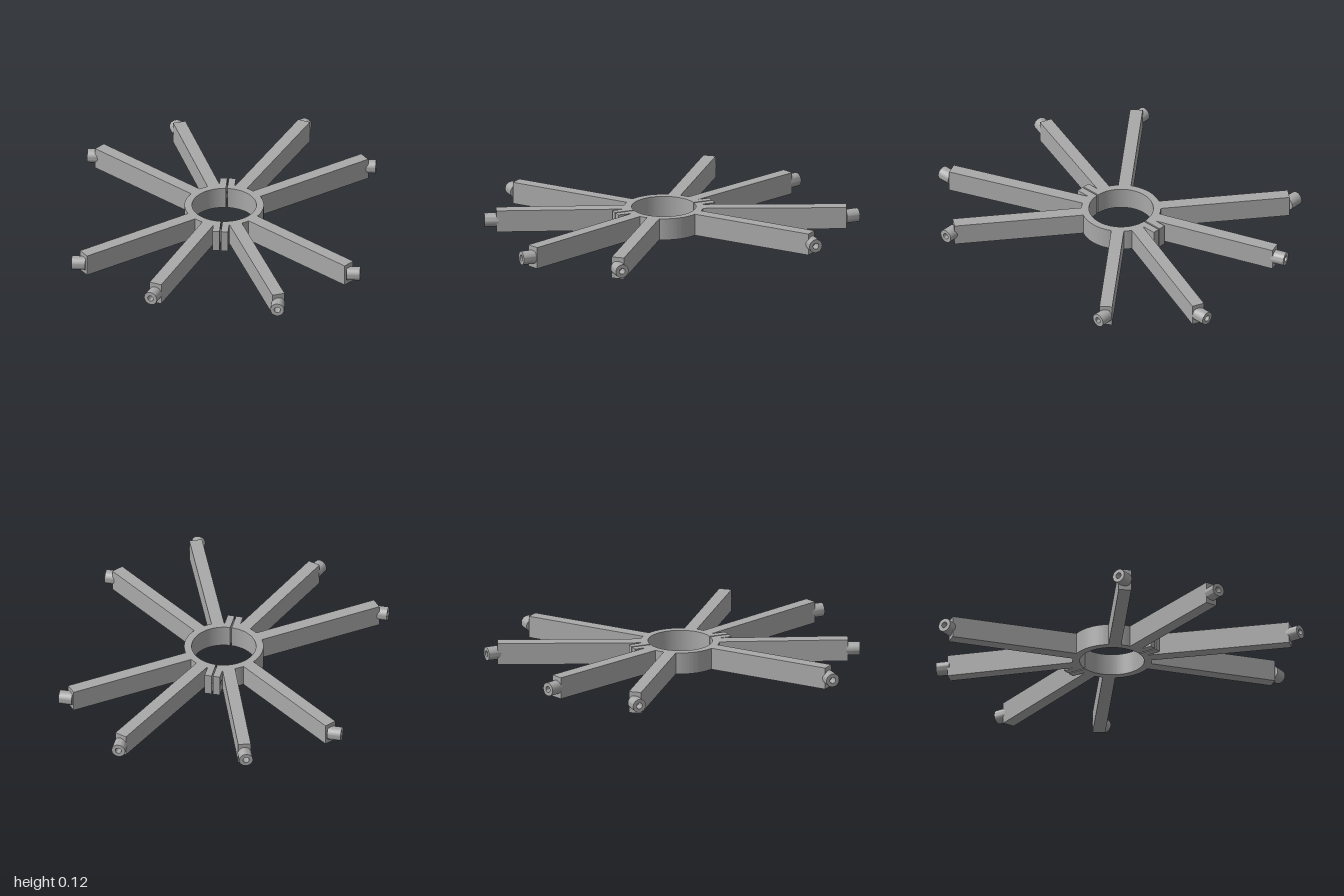
import * as THREE from 'three';
import { toCreasedNormals } from 'three/addons/utils/BufferGeometryUtils.js';

const HEIGHT = 0.122;
const MID = HEIGHT / 2;
const UP = new THREE.Vector3(0, 1, 0);

// Half of the split clamp ring, on the +x side of the gap
function halfRingGeometry(inner, outer, gap) {
  const a = Math.acos(gap / outer), b = Math.acos(gap / inner);
  const shape = new THREE.Shape();
  shape.absarc(0, 0, outer, -a, a, false);
  shape.absarc(0, 0, inner, b, -b, true);
  const geo = new THREE.ExtrudeGeometry(shape, { depth: HEIGHT, bevelEnabled: false, curveSegments: 48 });
  geo.rotateX(-Math.PI / 2);
  return toCreasedNormals(geo, 0.5);
}

// Clamp flange with a bolt hole running along x
function flangeGeometry(z0, z1, thickness) {
  const shape = new THREE.Shape();
  shape.moveTo(z0, 0);
  shape.lineTo(z1, 0);
  shape.lineTo(z1, HEIGHT);
  shape.lineTo(z0, HEIGHT);
  const hole = new THREE.Path();
  hole.absarc(0.252, MID, 0.013, 0, Math.PI * 2, true);
  shape.holes.push(hole);
  const geo = new THREE.ExtrudeGeometry(shape, { depth: thickness, bevelEnabled: false, curveSegments: 12 });
  geo.rotateY(-Math.PI / 2);
  geo.translate(thickness / 2, 0, 0);
  return toCreasedNormals(geo, 0.6);
}

// Short round stub with a blind bore
function stubGeometry(length) {
  const R = 0.038, r = 0.017;
  const profile = [[0, 0], [R, 0], [R, length], [r, length], [r, 0.02], [0, 0.02]]
    .map(([x, y]) => new THREE.Vector2(x, y));
  return toCreasedNormals(new THREE.LatheGeometry(profile, 32), 0.6);
}

export function createModel() {
  const model = new THREE.Group();
  model.name = 'clampHub';
  const grey = new THREE.MeshStandardMaterial({ color: 0xa9a9a9 });
  grey.name = 'grey';

  const body = new THREE.Group();
  body.name = 'body';
  body.position.z = -0.002;
  model.add(body);

  const add = (geo, name) => {
    const mesh = new THREE.Mesh(geo, grey);
    mesh.name = name;
    body.add(mesh);
    return mesh;
  };

  // Split ring and its flanges
  const ringGeo = halfRingGeometry(0.177, 0.218, 0.004);
  const flangeGeo = flangeGeometry(0.195, 0.288, 0.039);
  for (const sx of [1, -1]) {
    const side = sx > 0 ? 'left' : 'right';
    add(ringGeo, side + 'HalfRing').rotation.y = sx > 0 ? 0 : Math.PI;
    for (const sz of [1, -1]) {
      const flange = add(flangeGeo, side + 'Flange');
      flange.position.x = sx * 0.0235;
      flange.rotation.y = sz > 0 ? 0 : Math.PI;
    }
  }

  // Arms: end point, stub start, stub direction and stub length (mirrored front to back)
  const arms = [
    { name: 'leftSide', end: [0.731, 0.576], stub: [0.72, 0.576], dir: [1, 0], len: 0.074 },
    { name: 'rightSide', end: [-0.731, 0.576], stub: [-0.72, 0.576], dir: [-1, 0], len: 0.076 },
    { name: 'leftLong', end: [0.37, 0.933], stub: [0.368, 0.925], dir: [0, 1], len: 0.075 },
    { name: 'rightLong', end: [-0.313, 0.868], stub: [-0.31, 0.858], dir: [-0.34, 0.94], len: 0.076 },
  ];
  const START = 0.19, WIDTH = 0.07;
  for (const arm of arms) {
    const reach = Math.hypot(...arm.end);
    const beamGeo = new THREE.BoxGeometry(WIDTH, HEIGHT, reach - START);
    beamGeo.translate(0, MID, (reach + START) / 2);
    const stubGeo = stubGeometry(arm.len);
    for (const sz of [1, -1]) {
      add(beamGeo, arm.name + 'Arm').rotation.y = Math.atan2(arm.end[0], sz * arm.end[1]);
      const stub = add(stubGeo, arm.name + 'Stub');
      stub.position.set(arm.stub[0], MID, sz * arm.stub[1]);
      const dir = new THREE.Vector3(arm.dir[0], 0, sz * arm.dir[1]).normalize();
      stub.quaternion.setFromUnitVectors(UP, dir);
    }
  }
  return model;
}
